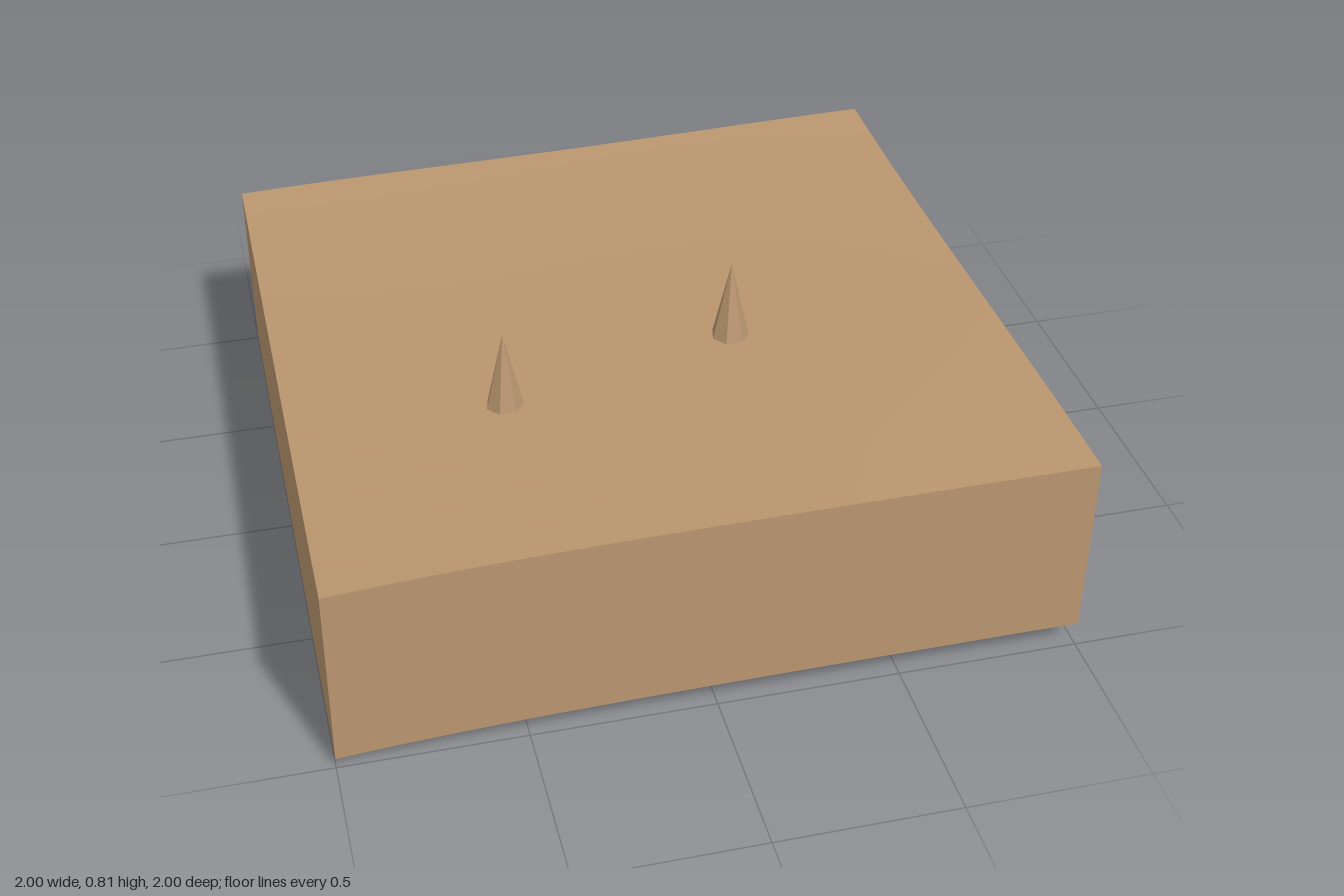
import * as THREE from 'three';

const DEPTH = 0.53; // height of the side walls
const SEG = 24;

// Surface heights along each edge, sampled at -1, -0.5, 0, 0.5, 1
const NODES = [-1, -0.5, 0, 0.5, 1];
const EDGES = {
  front: [0.56, 0.588, 0.598, 0.602, 0.604],
  back: [0.54, 0.554, 0.563, 0.577, 0.59],
  left: [0.54, 0.53, 0.534, 0.542, 0.56],
  right: [0.59, 0.583, 0.59, 0.6, 0.604],
};

// Smooth curve through the five samples
function edgeHeight(values, t) {
  return values.reduce((sum, v, i) => sum + NODES.reduce(
    (p, n, j) => (j === i ? p : p * (t - n) / (NODES[i] - n)), v), 0);
}

// Ground height blended from the four edges
function groundHeight(x, z) {
  const u = (x + 1) / 2, v = (z + 1) / 2;
  const { front, back, left, right } = EDGES;
  const lerp = THREE.MathUtils.lerp;
  return lerp(edgeHeight(back, x), edgeHeight(front, x), v)
    + lerp(edgeHeight(left, z), edgeHeight(right, z), u)
    - lerp(lerp(back[0], back[4], u), lerp(front[0], front[4], u), v);
}

export function createModel() {
  const model = new THREE.Group();
  const earth = new THREE.MeshStandardMaterial({ color: 0xba966f, side: THREE.DoubleSide });
  earth.name = 'sandy earth';

  const add = (geometry, name) => {
    const mesh = new THREE.Mesh(geometry, earth);
    mesh.name = name;
    model.add(mesh);
    return mesh;
  };

  // Gently rolling ground
  const ground = new THREE.PlaneGeometry(2, 2, SEG, SEG).rotateX(-Math.PI / 2);
  const gp = ground.attributes.position;
  for (let i = 0; i < gp.count; i++) gp.setY(i, groundHeight(gp.getX(i), gp.getZ(i)));
  ground.computeVertexNormals();
  add(ground, 'ground');

  // Four walls that follow the ground edge, open underneath
  ['frontWall', 'leftWall', 'backWall', 'rightWall'].forEach((name, k) => {
    const wall = new THREE.PlaneGeometry(2, DEPTH, SEG, 1)
      .translate(0, -DEPTH / 2, 1).rotateY(k * Math.PI / 2);
    const p = wall.attributes.position;
    for (let i = 0; i < p.count; i++) {
      p.setY(i, p.getY(i) + groundHeight(p.getX(i), p.getZ(i)));
    }
    add(wall, name);
  });

  // Seven-sided spikes standing on the ground
  for (const [x, z, apex] of [[-0.42, 0.33, 0.793], [0.25, 0.165, 0.812]]) {
    const height = 0.232;
    const cone = new THREE.ConeGeometry(0.053, height, 7).toNonIndexed();
    cone.computeVertexNormals();
    const spike = add(cone, 'spike');
    spike.position.set(x, apex - height / 2, z);
    spike.rotation.y = Math.PI;
  }
  return model;
}
